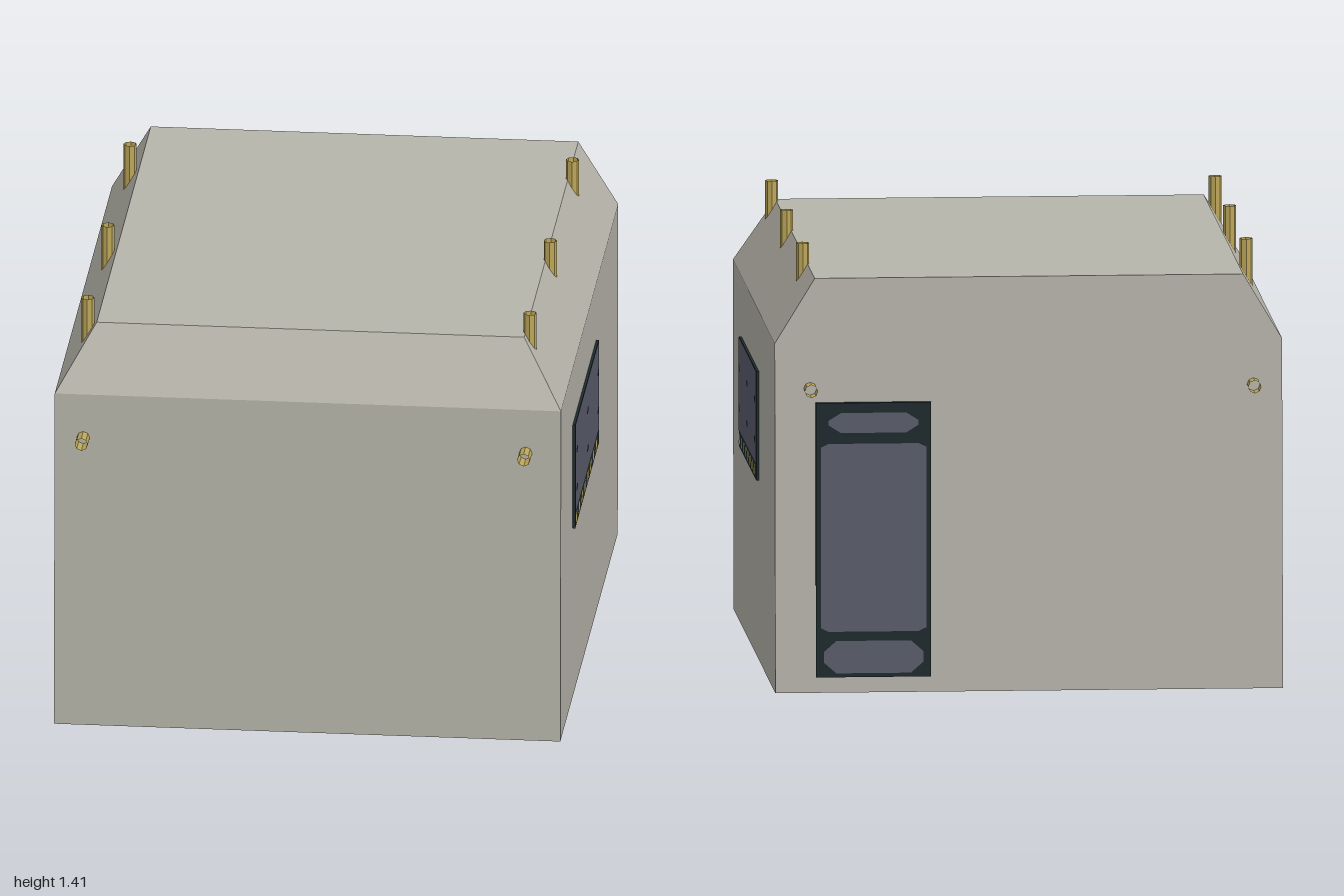
import * as THREE from 'three';
import { mergeGeometries } from 'three/addons/utils/BufferGeometryUtils.js';

const mat = (name, color, options = {}) => {
  const m = new THREE.MeshStandardMaterial({ color, ...options });
  m.name = name;
  return m;
};

export function createModel() {
  const concrete = mat('concrete', 0xb7b5ab);
  const brass = mat('brass', 0xbda75a, { side: THREE.DoubleSide, flatShading: true });
  const frameDark = mat('darkFrame', 0x1e2b2e);
  const slate = mat('slatePanel', 0x5a5d6b);
  const tileLight = mat('lightTile', 0xb2b8bb);
  const tileDark = mat('darkTile', 0x283335);

  const model = new THREE.Group();
  model.name = 'shelter';
  const add = (parent, name, geo, material) => {
    const mesh = new THREE.Mesh(geo, material);
    mesh.name = name;
    parent.add(mesh);
    return mesh;
  };

  // Walls, sloped eaves on three sides and flat roof, from stacked rectangles
  const rings = [
    { y: 0, x0: -0.825, x1: 0.81, z0: -0.94, z1: 0.937 },
    { y: 1.135, x0: -0.822, x1: 0.812, z0: -0.937, z1: 0.935 },
    { y: 1.345, x0: -0.697, x1: 0.683, z0: -0.937, z1: 0.83 },
  ].map(({ y, x0, x1, z0, z1 }) => [[x0, y, z1], [x1, y, z1], [x1, y, z0], [x0, y, z0]]);
  const pos = [];
  const quad = (a, b, c, d) => pos.push(...a, ...b, ...c, ...a, ...c, ...d);
  for (let r = 0; r < 2; r++) {
    for (let i = 0; i < 4; i++) {
      const j = (i + 1) % 4;
      quad(rings[r][i], rings[r][j], rings[r + 1][j], rings[r + 1][i]);
    }
  }
  quad(...rings[2]);
  const shell = new THREE.BufferGeometry();
  shell.setAttribute('position', new THREE.Float32BufferAttribute(pos, 3));
  shell.computeVertexNormals();
  add(model, 'wallsAndRoof', shell, concrete);

  // Chequered underside
  const nx = 9, nz = 11, w = 1.635 / nx, d = 1.877 / nz;
  const tiles = [[], []];
  for (let i = 0; i < nx; i++) {
    for (let j = 0; j < nz; j++) {
      const g = new THREE.PlaneGeometry(w, d).rotateX(Math.PI / 2);
      g.translate(-0.825 + (i + 0.5) * w, 0, -0.94 + (j + 0.5) * d);
      tiles[(i + j) % 2].push(g);
    }
  }
  add(model, 'floorDarkTiles', mergeGeometries(tiles[0]), tileDark);
  add(model, 'floorLightTiles', mergeGeometries(tiles[1]), tileLight);

  // Open-ended pegs along the eaves and through the end walls
  for (const x of [-0.73, 0.698]) {
    for (const z of [0.785, 0.13, -0.6]) {
      add(model, 'roofPeg', new THREE.CylinderGeometry(0.021, 0.021, 0.18, 8, 1, true), brass)
        .position.set(x, 1.322, z);
    }
    for (const side of [-1, 1]) {
      const peg = add(model, 'wallPeg', new THREE.CylinderGeometry(0.021, 0.021, 0.1, 8, 1, true), brass);
      peg.rotation.x = Math.PI / 2;
      peg.position.set(x, 0.987, side * 0.95);
    }
  }

  // Thin flat plate from an outline, at a given depth
  const plate = (parent, name, pts, z, material) => {
    const shape = new THREE.Shape(pts.map(([x, y]) => new THREE.Vector2(x, y)));
    return add(parent, name, new THREE.ShapeGeometry(shape).translate(0, 0, z), material);
  };
  const rect = (x0, y0, x1, y1) => [[x0, y0], [x1, y0], [x1, y1], [x0, y1]];
  // Rectangle with cut corners
  const cut = (x0, y0, x1, y1, cx, cy) => [
    [x0 + cx, y0], [x1 - cx, y0], [x1, y0 + cy], [x1, y1 - cy],
    [x1 - cx, y1], [x0 + cx, y1], [x0, y1 - cy], [x0, y0 + cy],
  ];

  // Side shutter; its local x runs towards the back
  const win = new THREE.Group();
  win.name = 'sideShutter';
  win.rotation.y = Math.PI / 2;
  win.position.x = 0.81;
  model.add(win);
  add(win, 'shutterFrame', new THREE.BoxGeometry(0.77, 0.355, 0.02), frameDark)
    .position.set(-0.163, 0.763, 0);
  plate(win, 'shutterPanel', rect(-0.547, 0.637, 0.217, 0.94), 0.0115, slate);
  for (const x of [-0.51, -0.16, 0.18]) {
    for (const y of [0.715, 0.845]) {
      plate(win, 'shutterRivet', cut(x - 0.024, y - 0.011, x + 0.024, y + 0.011, 0.016, 0.008), 0.0125, frameDark);
    }
  }
  for (let i = 0; i < 8; i++) {
    const x = -0.512 + i * 0.0925;
    plate(win, 'warningStripe',
      [[x - 0.035, 0.594], [x + 0.018, 0.594], [x + 0.035, 0.632], [x - 0.018, 0.632]], 0.0115, brass);
  }

  // Back door
  const door = new THREE.Group();
  door.name = 'backDoor';
  door.rotation.y = Math.PI;
  door.position.set(0.495, 0, -0.945);
  model.add(door);
  add(door, 'doorFrame', new THREE.BoxGeometry(0.37, 0.89, 0.024), frameDark).position.y = 0.497;
  plate(door, 'doorPanel', cut(-0.17, 0.2, 0.17, 0.81, 0.025, 0.012), 0.0135, slate);
  plate(door, 'doorTopPanel', cut(-0.145, 0.845, 0.145, 0.91, 0.04, 0.025), 0.0135, slate);
  plate(door, 'doorBottomPanel', cut(-0.16, 0.065, 0.16, 0.17, 0.04, 0.035), 0.0135, slate);

  return model;
}
